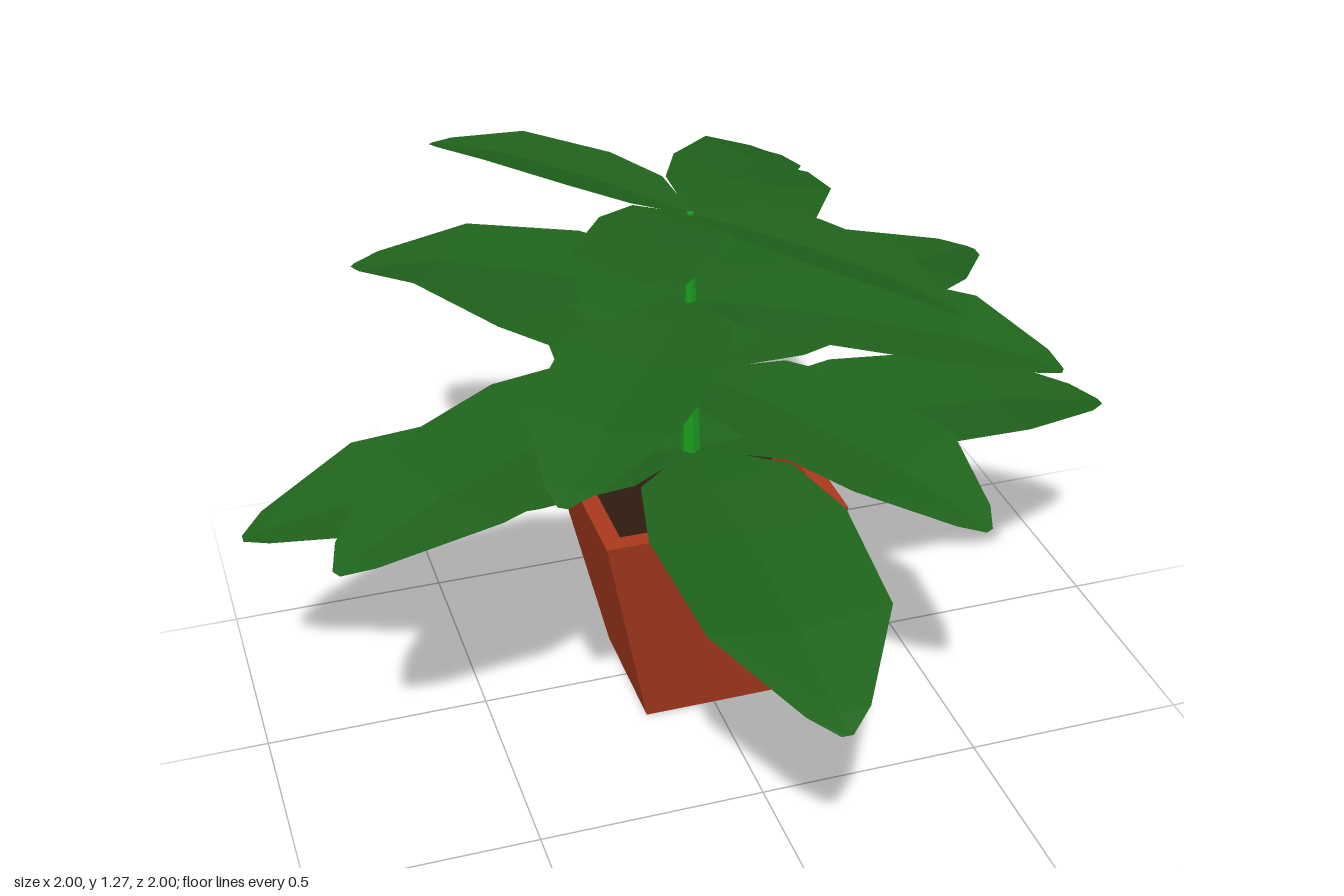
import * as THREE from 'three';

const green = new THREE.MeshStandardMaterial({ color: 0x1f631b, flatShading: true, side: THREE.DoubleSide });
const stemGreen = new THREE.MeshStandardMaterial({ color: 0x1a9a1e, flatShading: true });
const clay = new THREE.MeshStandardMaterial({ color: 0xa8391d, flatShading: true });
const earth = new THREE.MeshStandardMaterial({ color: 0x2e1a10, flatShading: true });

// Cross-sections of a unit leaf along +x: distance, half width, midrib height, edge height
const SECTIONS = [
  [0, 0.01, 0, 0],
  [0.18, 0.17, 0.01, 0.035],
  [0.4, 0.215, 0.015, 0.045],
  [0.73, 0.192, 0.003, 0.03],
  [0.95, 0.065, -0.036, -0.03],
  [1, 0.012, -0.05, -0.05],
];

function leafGeometry() {
  const positions = [];
  const index = [];
  SECTIONS.forEach(([x, w, mid, edge], i) => {
    positions.push(x, edge, -w, x, mid, 0, x, edge, w);
    if (i === 0) return;
    const a = (i - 1) * 3;
    for (let s = 0; s < 2; s++) {
      const p = a + s, q = p + 3;
      index.push(p, p + 1, q, p + 1, q + 1, q);
    }
  });
  const geometry = new THREE.BufferGeometry();
  geometry.setAttribute('position', new THREE.Float32BufferAttribute(positions, 3));
  geometry.setIndex(index);
  geometry.computeVertexNormals();
  return geometry;
}

// Whorls of four leaves: height, leaf length, turn in degrees, sideways tilt
const TIERS = [
  { y: 0.59, length: 1, turn: -1, tilt: 0 },
  { y: 0.785, length: 0.985, turn: 28, tilt: 0, shortLeaf: 3 },
  { y: 0.962, length: 0.8, turn: 54.5, tilt: 0 },
  { y: 1.163, length: 0.6, turn: 53.5, tilt: -0.22 },
];

export function createModel() {
  const model = new THREE.Group();
  model.name = 'pottedPlant';

  // Square tapered pot with a rim and a hollow top
  const r2 = Math.SQRT2;
  const profile = [[0, 0], [0.155, 0], [0.272, 0.55], [0.232, 0.55], [0.215, 0.47], [0, 0.47]]
    .map(([x, y]) => new THREE.Vector2(x * r2, y));
  const pot = new THREE.Mesh(new THREE.LatheGeometry(profile, 4, Math.PI / 4), clay);
  pot.name = 'pot';
  pot.position.set(-0.007, 0, 0.007);
  model.add(pot);

  // Soil just below the rim
  const soil = new THREE.Mesh(new THREE.BoxGeometry(0.435, 0.02, 0.435), earth);
  soil.name = 'soil';
  soil.position.set(-0.007, 0.475, 0.007);
  model.add(soil);

  // Tapering stem
  const stem = new THREE.Mesh(new THREE.CylinderGeometry(0.008, 0.025, 0.69, 6), stemGreen);
  stem.name = 'stem';
  stem.position.set(-0.007, 0.825, 0.005);
  model.add(stem);

  // Leaves
  const geometry = leafGeometry();
  TIERS.forEach(({ y, length, turn, tilt, shortLeaf }, t) => {
    const tier = new THREE.Group();
    tier.name = `leafTier${t + 1}`;
    tier.position.y = y;
    tier.rotation.z = tilt;
    for (let i = 0; i < 4; i++) {
      const leaf = new THREE.Mesh(geometry, green);
      leaf.name = `leaf${i + 1}`;
      leaf.rotation.y = THREE.MathUtils.degToRad(turn + 90 * i);
      leaf.scale.setScalar(i === shortLeaf ? length * 0.83 : length);
      tier.add(leaf);
    }
    model.add(tier);
  });

  return model;
}
